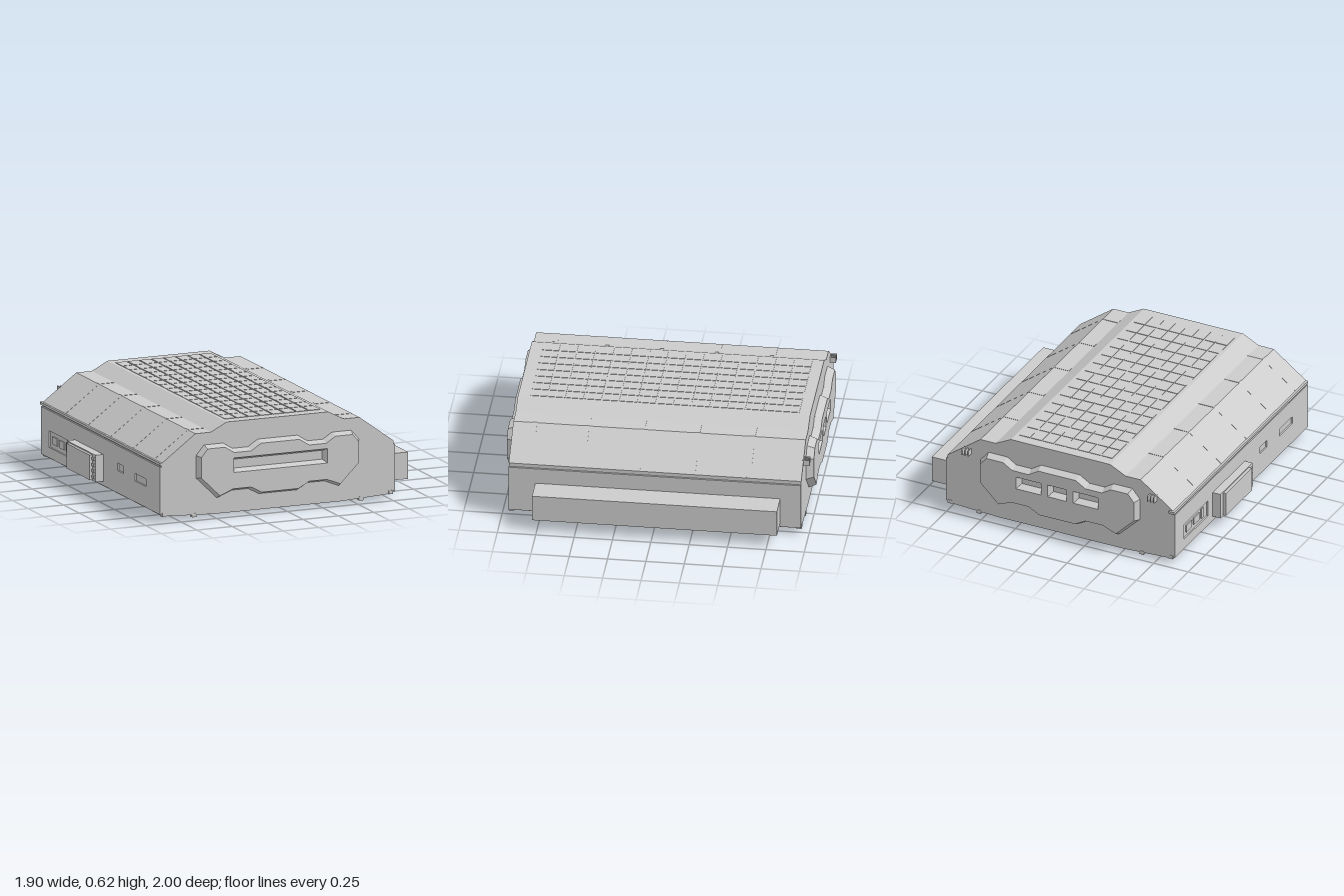
import * as THREE from 'three';
import { mergeGeometries } from 'three/addons/utils/BufferGeometryUtils.js';

const CX = -0.05; // symmetry plane of the hull
const mat = new THREE.MeshStandardMaterial({ color: 0xcccccc, flatShading: true });

const rect = (x0, x1, y0, y1) => [[x0, y0], [x1, y0], [x1, y1], [x0, y1]];
const vecs = (pts) => pts.map(([x, y]) => new THREE.Vector2(x, y));
// Mirror a right-hand half outline (bottom to top) about the symmetry plane
const mirrored = (half) => [
  ...half.map(([u, y]) => [CX + u, y]),
  ...half.slice().reverse().map(([u, y]) => [CX - u, y]),
];

function extrude(pts, depth, holes = [], bevel = null) {
  const shape = new THREE.Shape(vecs(pts));
  holes.forEach((h) => shape.holes.push(new THREE.Path(vecs(h))));
  return new THREE.ExtrudeGeometry(shape, { depth, bevelEnabled: !!bevel, ...bevel });
}

// Box from its limits
function block(x0, x1, y0, y1, z0, z1) {
  return new THREE.BoxGeometry(x1 - x0, y1 - y0, z1 - z0)
    .translate((x0 + x1) / 2, (y0 + y1) / 2, (z0 + z1) / 2);
}

export function createModel() {
  const model = new THREE.Group();
  const add = (name, geo) => {
    const mesh = new THREE.Mesh(Array.isArray(geo) ? mergeGeometries(geo) : geo, mat);
    mesh.name = name;
    model.add(mesh);
  };

  // Hull: one faceted section running front to back
  const section = mirrored([
    [0.45, 0.021], [0.81, 0.038], [0.818, 0.06], [0.818, 0.39],
    [0.58, 0.565], [0.47, 0.565], [0.36, 0.622],
  ]);
  add('hull', extrude(section, 1.905).translate(0, 0, -0.95));

  // Side skins with cut-outs
  const leftWindows = [
    rect(-0.82, -0.48, 0.12, 0.23), rect(0.27, 0.37, 0.2, 0.25), rect(0.55, 0.73, 0.19, 0.24),
  ];
  add('rightWall', extrude(rect(-0.95, 0.955, 0.05, 0.365), 0.012, leftWindows)
    .rotateY(-Math.PI / 2).translate(-0.867, 0, 0));
  add('leftWall', extrude(rect(-0.95, 0.955, 0.05, 0.365), 0.012)
    .rotateY(-Math.PI / 2).translate(0.78, 0, 0));
  add('windowFittings', [
    block(-0.876, -0.865, 0.15, 0.2, -0.78, -0.7), block(-0.876, -0.865, 0.15, 0.2, -0.67, -0.59),
    block(-0.874, -0.865, 0.14, 0.21, -0.56, -0.53),
  ]);
  add('wallTopRail', block(-0.88, -0.84, 0.375, 0.392, -0.965, 0.955));

  // Long side pod and the door on the opposite wall
  add('sidePod', block(0.77, 0.95, 0.08, 0.258, -0.815, 0.78));
  add('sideDoor', [
    block(-0.935, -0.86, 0.08, 0.258, -0.41, 0.05),
    block(-0.955, -0.93, 0.085, 0.25, -0.37, 0.0),
  ]);
  const hinges = [];
  for (const y of [0.1, 0.14, 0.18, 0.22]) hinges.push(block(-0.945, -0.93, y, y + 0.018, 0.005, 0.04));
  add('doorHinges', hinges);

  // End plates: wavy bevelled outline with recessed windows
  const outline = mirrored([
    [0.135, 0.127], [0.21, 0.168], [0.327, 0.168], [0.43, 0.127], [0.575, 0.27], [0.575, 0.42],
    [0.52, 0.485], [0.385, 0.485], [0.32, 0.444], [0.21, 0.444], [0.14, 0.488],
  ]);
  const bevel = (t) => ({ bevelThickness: t, bevelSize: 0.018, bevelOffset: -0.018, bevelSegments: 1 });
  add('frontPlate', extrude(outline, 0.01, [rect(-0.36, 0.265, 0.312, 0.372)], bevel(0.04))
    .translate(0, 0, 0.95));
  add('backPlate', extrude(outline, 0.01, [
    rect(-0.33, -0.185, 0.315, 0.365), rect(-0.1, 0.0, 0.315, 0.365), rect(0.085, 0.23, 0.315, 0.365),
  ], bevel(0.045)).translate(0, 0, -0.955));
  // Raised lines beside the windows
  const lines = [];
  for (const s of [-1, 1]) {
    const x = CX + s * 0.42;
    lines.push(block(x - 0.004, x + 0.004, 0.26, 0.35, -1, -0.99));
    lines.push(block(Math.min(x, x + s * 0.06), Math.max(x, x + s * 0.06), 0.256, 0.264, -1, -0.99));
  }
  lines.push(block(CX - 0.2, CX + 0.2, 0.225, 0.232, -1, -0.99));
  add('backPlateLines', lines);

  // Roof tiles
  const tiles = [];
  const cols = 8, rows = 15, w = 0.68 / cols, d = 1.76 / rows;
  for (let i = 0; i < cols; i++) for (let j = 0; j < rows; j++) {
    const x = CX - 0.34 + i * w, z = -0.88 + j * d;
    tiles.push(block(x + 0.004, x + w - 0.004, 0.615, 0.625, z + 0.004, z + d - 0.004));
  }
  add('roofTiles', tiles);

  // Thin straps over both shoulders
  const straps = [];
  const strap = [[0.47, 0.567], [0.578, 0.567], [0.815, 0.394], [0.8, 0.385], [0.57, 0.55], [0.47, 0.55]];
  for (const s of [-1, 1]) for (const z of [-0.62, -0.26, 0.1, 0.46, 0.8])
    straps.push(extrude(strap.map(([u, y]) => [CX + s * u, y]), 0.035).translate(0, 0, z));
  add('shoulderStraps', straps);

  // Fins on the back shoulders and lugs round the lower edge
  const fins = [], lugs = [];
  for (const s of [-1, 1]) {
    for (const u of [0.65, 0.672, 0.694]) {
      const x = CX + s * u;
      fins.push(block(x - 0.004, x + 0.004, 0.44, 0.48, -0.99, -0.94));
    }
    for (const u of [0.59, 0.8]) for (const z of [-0.935, 0.94]) {
      const x = CX + s * u, y = u > 0.7 ? 0.035 : 0.013;
      lugs.push(block(x - 0.015, x + 0.015, y, y + 0.025, z - 0.018, z + 0.018));
    }
  }
  add('backFins', fins);
  add('edgeLugs', lugs);

  // Underside: wavy frame, two panels and rows of small feet
  const wavy = (k) => mirrored([
    [0.2 * k, -0.78 * k], [0.26 * k, -0.73 * k], [0.46 * k, -0.73 * k], [0.56 * k, -0.62 * k],
    [0.56 * k, -0.3 * k], [0.51 * k, -0.22 * k], [0.51 * k, 0.22 * k], [0.56 * k, 0.3 * k],
    [0.56 * k, 0.62 * k], [0.46 * k, 0.73 * k], [0.26 * k, 0.73 * k], [0.2 * k, 0.78 * k],
  ]);
  add('undersideFrame', extrude(wavy(1), 0.012, [wavy(0.97)]).rotateX(Math.PI / 2).translate(0, 0.028, 0));
  add('undersidePanels', [
    block(-0.36, 0.26, 0.017, 0.03, -0.62, -0.08), block(-0.36, 0.26, 0.017, 0.03, 0.05, 0.6),
  ]);
  const feet = [block(-0.49, -0.41, 0.0, 0.03, 0.08, 0.24)];
  for (const s of [-1, 1]) for (let i = 0; i < 7; i++) {
    const z = -0.81 + i * 0.27;
    for (const u of [0.4, 0.67]) {
      const x = CX + s * u, y = u < 0.5 ? 0.009 : 0.022;
      feet.push(block(x - 0.018, x + 0.018, y, 0.04, z - 0.018, z + 0.018));
    }
  }
  add('undersideFeet', feet);

  return model;
}
